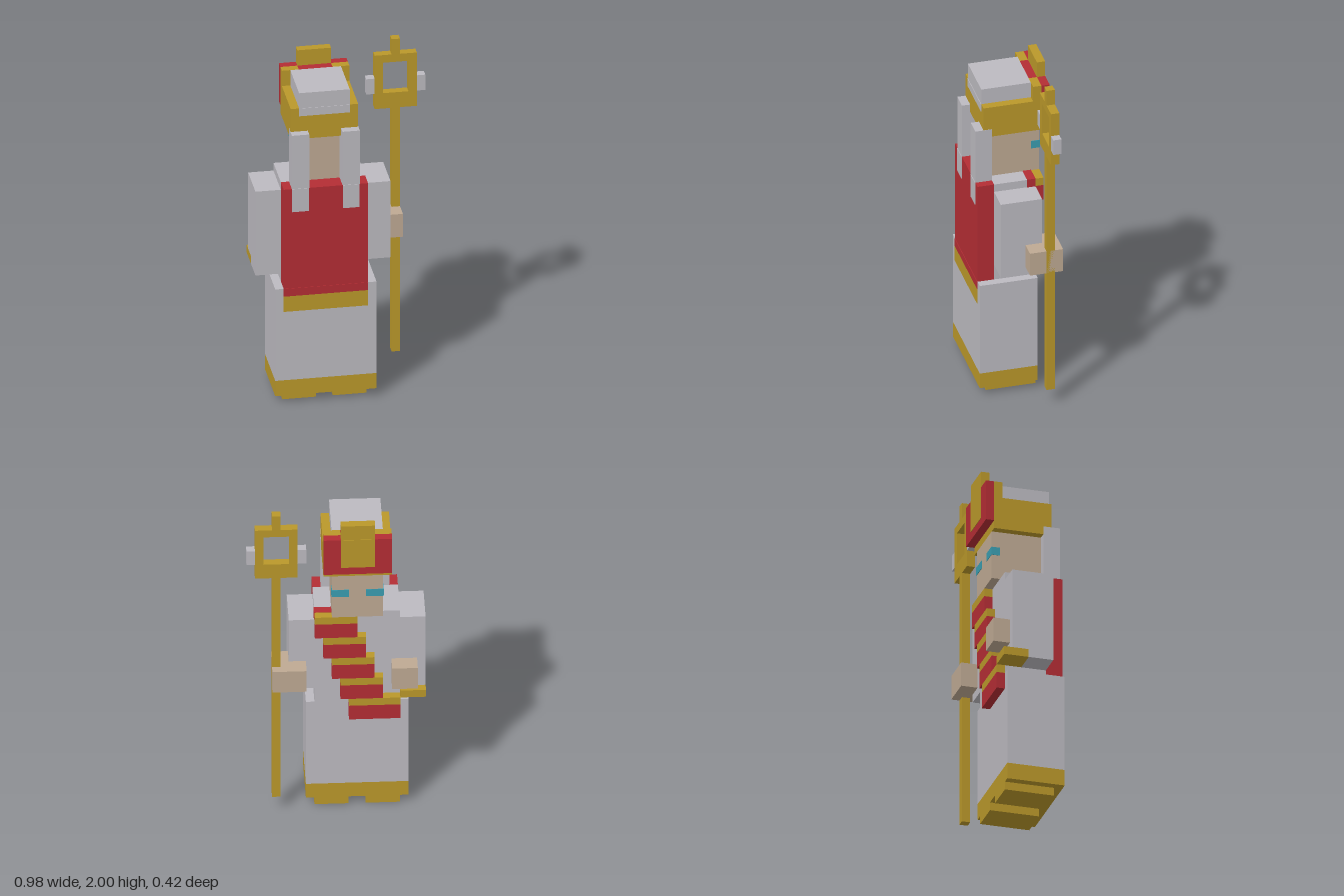
import * as THREE from 'three';

const U = 2 / 43; // edge of one block cell; the figure is 21 x 43 x 9 cells
const E = 0.06;   // thickness of painted details, in cells

const mat = (name, color) => {
  const m = new THREE.MeshStandardMaterial({ color });
  m.name = name;
  return m;
};

export function createModel() {
  const cloth = mat('pale grey cloth', 0xbcbac0);
  const gold = mat('gold', 0xba982a);
  const red = mat('red', 0xb42d34);
  const skin = mat('skin', 0xbea993);
  const teal = mat('teal', 0x3a9db0);
  const root = new THREE.Group();
  root.name = 'staffBearer';

  const group = (name) => {
    const g = new THREE.Group();
    g.name = name;
    root.add(g);
    return g;
  };
  // Box spanning cell ranges on x, y and z
  const box = (parent, name, m, [x0, x1], [y0, y1], [z0, z1]) => {
    const mesh = new THREE.Mesh(
      new THREE.BoxGeometry((x1 - x0) * U, (y1 - y0) * U, (z1 - z0) * U), m);
    mesh.position.set(((x0 + x1) / 2 - 10.5) * U, (y0 + y1) / 2 * U, ((z0 + z1) / 2 - 4.5) * U);
    mesh.name = name;
    parent.add(mesh);
  };

  // Feet and robe
  const robe = group('robe');
  box(robe, 'rightFoot', gold, [3, 7], [0, 1], [2, 8]);
  box(robe, 'leftFoot', gold, [9, 13], [0, 1], [2, 8]);
  box(robe, 'hem', gold, [2, 14], [1, 3], [2, 9]);
  box(robe, 'skirt', cloth, [2, 14], [3, 15], [2, 9]);
  box(robe, 'torso', cloth, [3, 13], [15, 28], [2, 7]);

  // Cape with its painted lower border
  const cape = group('cape');
  box(cape, 'capePanel', red, [3, 13], [15, 28], [7, 9]);
  box(cape, 'capeLowerEdge', red, [3, 13], [14, 15], [9 - E, 9 + E]);
  box(cape, 'capeBorder', gold, [3, 13], [12, 14], [9 - E, 9 + E]);

  // Hanging cloth strips, one on each side
  for (const [side, x] of [['right', 4], ['left', 10]]) {
    box(cape, side + 'Strip', cloth, [x - E / 2, x + 2 + E / 2], [28, 35], [7, 9]);
    box(cape, side + 'StripEnd', cloth, [x, x + 2], [25, 28], [9 - E, 9 + E]);
  }

  // Diagonal stepped sash, each step topped with gold
  const sash = group('sash');
  const steps = [[8, 13], [7, 12], [6, 11], [5, 10], [3, 9]];
  steps.forEach((x, i) => {
    const top = 28 - 3 * i;
    box(sash, 'sashStripe', gold, x, [top - 1, top], [1, 2]);
    box(sash, 'sashStep', red, x, [top - 3, top - 1], [1, 2]);
  });
  box(sash, 'sashShoulder', red, [8, 13 + E], [27, 28 + E], [2, 3]);

  // Arms and hands
  const arms = group('arms');
  box(arms, 'leftArm', cloth, [13, 16], [17, 27], [2, 7]);
  box(arms, 'leftPalm', skin, [16, 18], [18, 21], [2, 4]);
  box(arms, 'leftFingers', skin, [14, 18], [18, 21], [0, 2]);
  box(arms, 'rightArm', cloth, [0, 3], [17, 27], [2, 7]);
  box(arms, 'rightSleeveEnd', cloth, [0, 3], [16, 17], [4, 7]);
  box(arms, 'rightCuff', gold, [0, 3], [16, 17], [1, 4]);
  box(arms, 'rightHand', skin, [1, 4], [18, 21], [0, 2]);

  // Head; the eyes wrap around the corners
  const head = group('head');
  box(head, 'face', skin, [5, 11], [28, 34], [1, 7]);
  box(head, 'rightEye', teal, [5 - E, 7], [31, 32], [1 - E, 2]);
  box(head, 'leftEye', teal, [9, 11 + E], [31, 32], [1 - E, 2]);

  // Headdress
  const hat = group('headdress');
  box(hat, 'band', gold, [4, 12], [34, 38], [1, 8]);
  box(hat, 'cap', cloth, [5, 11], [38, 40], [2, 8]);
  box(hat, 'capEdge', cloth, [5, 11], [37, 38], [8 - E, 8 + E]);
  box(hat, 'rightCorner', gold, [4, 6], [38, 40], [1, 2]);
  box(hat, 'leftCorner', gold, [10, 12], [38, 40], [1, 2]);
  box(hat, 'crestBacking', red, [6, 10], [38, 40], [1, 2]);
  box(hat, 'crest', red, [4, 12], [35, 40], [0, 1]);
  box(hat, 'crestTop', gold, [6, 10], [40, 42], [0, 1]);
  box(hat, 'crestPlaque', gold, [6, 10], [36, 40], [-E, E]);

  // Staff with an open square head and a gem on each side
  const staff = group('staff');
  const z = [1, 2];
  box(staff, 'shaft', gold, [17, 18], [2, 34], z);
  box(staff, 'frameBottom', gold, [15, 20], [34, 36], z);
  box(staff, 'frameTop', gold, [15, 20], [40, 41], z);
  for (const x of [15, 19]) box(staff, 'frameSide', gold, [x, x + 1], [36, 40], z);
  for (const x of [14, 20]) box(staff, 'gem', cloth, [x, x + 1], [36, 38], z);
  box(staff, 'finial', gold, [17, 18], [41, 43], z);

  return root;
}
